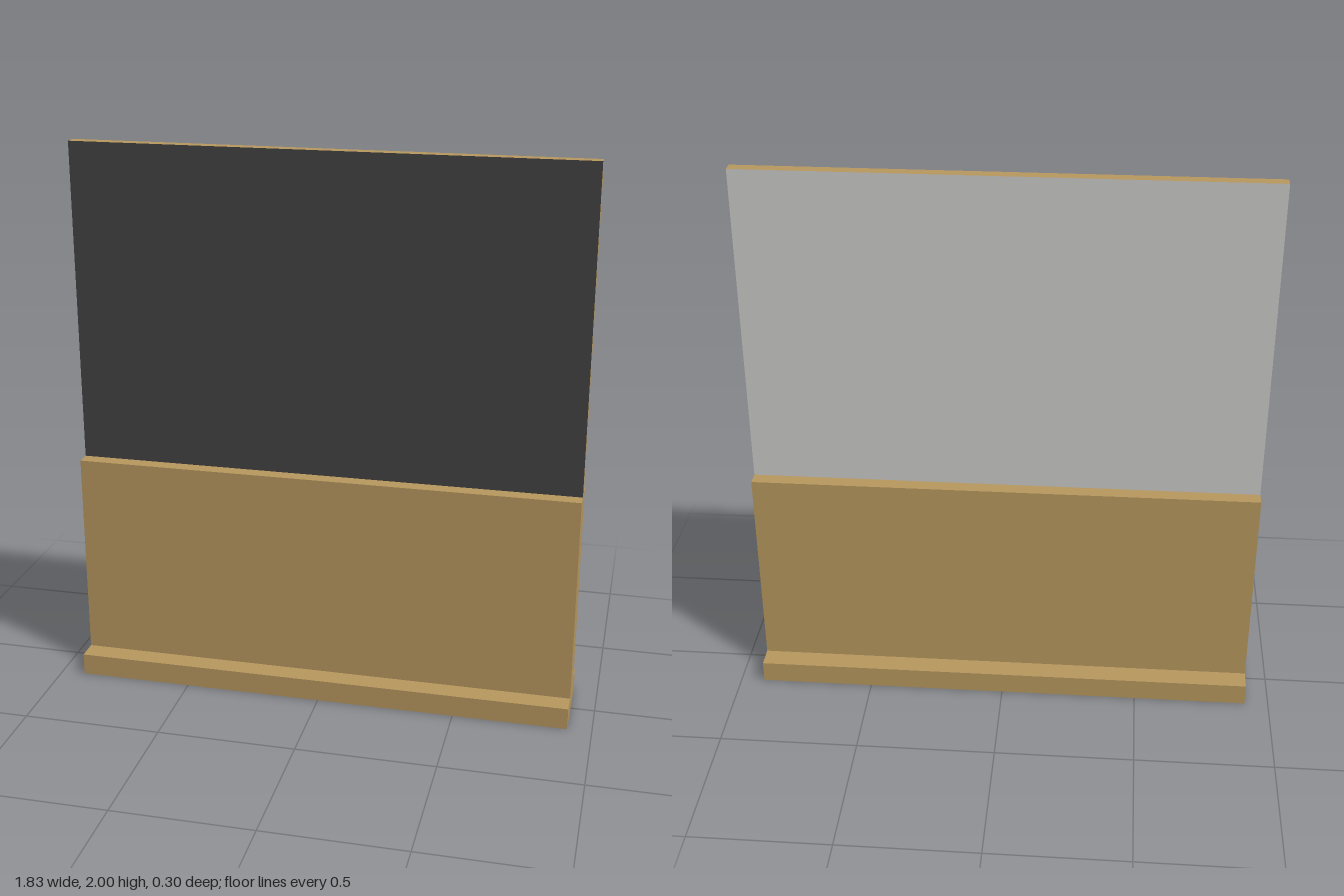
import * as THREE from 'three';

export function createModel() {
  const group = new THREE.Group();
  const material = (name, color) => {
    const m = new THREE.MeshStandardMaterial({ color });
    m.name = name;
    return m;
  };
  const wood = material('tan wood', 0xb8985f);
  const dark = material('dark panel face', 0x434343);
  const grey = material('light grey panel face', 0xcacac8);

  const width = 1.826;

  // Full-width slab standing between two heights
  const slab = (name, y0, y1, depth, mat) => {
    const mesh = new THREE.Mesh(new THREE.BoxGeometry(width, y1 - y0, depth), mat);
    mesh.position.y = (y0 + y1) / 2;
    mesh.name = name;
    group.add(mesh);
  };

  slab('foot', 0, 0.08, 0.304, wood);
  slab('lowerWall', 0.08, 0.838, 0.147, wood);
  // Upper board: wooden edges, dark front, grey back
  slab('upperBoard', 0.838, 2, 0.042, [wood, wood, wood, wood, dark, grey]);

  return group;
}
